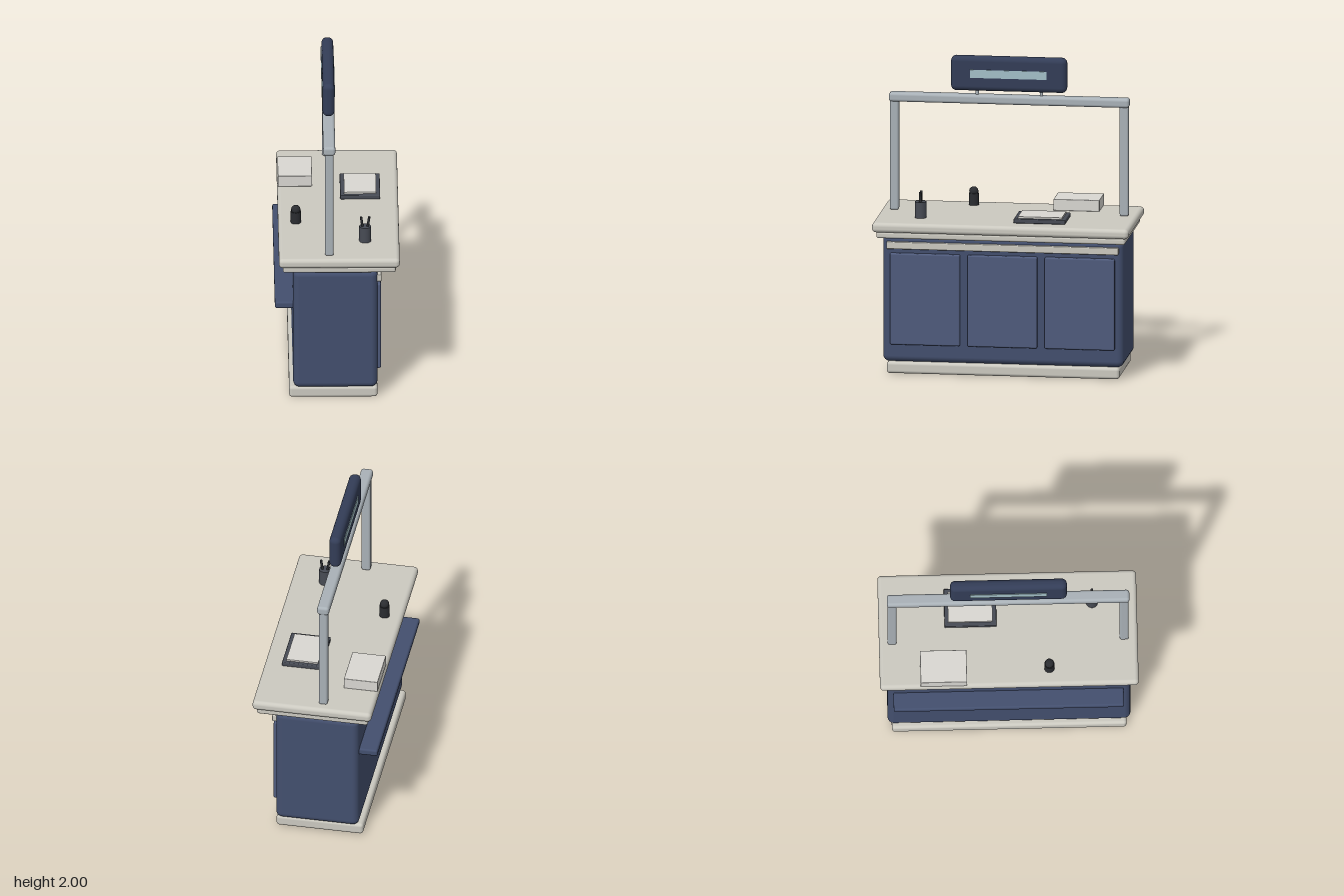
import * as THREE from 'three';
import { RoundedBoxGeometry } from 'three/addons/geometries/RoundedBoxGeometry.js';

const material = (color) => new THREE.MeshStandardMaterial({ color });

export function createModel() {
  const model = new THREE.Group();
  model.name = 'serviceCounter';

  const stone = material(0xcbc9c0);
  const navy = material(0x434f6e);
  const panelBlue = material(0x4f5b7c);
  const signNavy = material(0x333d57);
  const metal = material(0xa9b1b7);
  const screenBlue = material(0xa3c0c8);
  const paper = material(0xd9d7d2);
  const slate = material(0x474b54);
  const black = material(0x2b2d31);

  const add = (name, geometry, mat, x, y, z, parent = model) => {
    const mesh = new THREE.Mesh(geometry, mat);
    mesh.name = name;
    mesh.position.set(x, y, z);
    parent.add(mesh);
    return mesh;
  };

  // Box given by its extents; a radius rounds its edges
  const box = (name, mat, [x0, x1], [y0, y1], [z0, z1], radius = 0) => {
    const size = [x1 - x0, y1 - y0, z1 - z0];
    const geometry = radius > 0
      ? new RoundedBoxGeometry(...size, 4, radius)
      : new THREE.BoxGeometry(...size);
    return add(name, geometry, mat, (x0 + x1) / 2, (y0 + y1) / 2, (z0 + z1) / 2);
  };

  // Counter body
  box('plinth', stone, [-0.305, 0.25], [0.005, 0.08], [-0.737, 0.74], 0.02);
  box('cabinet', navy, [-0.28, 0.25], [0.08, 0.895], [-0.763, 0.765], 0.04);
  box('underTop', stone, [-0.345, 0.365], [0.895, 0.937], [-0.79, 0.79], 0.014);
  box('counterTop', stone, [-0.37, 0.39], [0.935, 0.998], [-0.813, 0.815], 0.025);
  box('trimStrip', stone, [0.24, 0.276], [0.81, 0.855], [-0.735, 0.738], 0.006);
  box('sideShelf', navy, [-0.395, -0.27], [0.618, 0.662], [-0.727, 0.722], 0.012);
  for (const z of [-0.488, 0.003, 0.494]) {
    box('doorPanel', panelBlue, [0.235, 0.272], [0.195, 0.782], [z - 0.222, z + 0.222], 0.01);
  }

  // Overhead frame
  const frameX = -0.053;
  for (const z of [-0.73, 0.73]) {
    box('framePost', metal, [frameX - 0.028, frameX + 0.028], [0.998, 1.72], [z - 0.028, z + 0.028], 0.013);
  }
  box('frameBeam', metal, [frameX - 0.038, frameX + 0.038], [1.695, 1.753], [-0.763, 0.763], 0.018);

  // Sign with a screen on each face
  for (const z of [-0.203, 0.205]) {
    add('signStem', new THREE.CylinderGeometry(0.011, 0.011, 0.06, 16), metal, frameX, 1.77, z);
  }
  box('signBody', signNavy, [frameX - 0.037, frameX + 0.037], [1.777, 2], [-0.366, 0.37], 0.033);
  for (const side of [-1, 1]) {
    add('signScreen', new THREE.BoxGeometry(0.008, 0.052, 0.485), screenBlue, frameX + side * 0.037, 1.89, 0.002);
  }

  // Items on the top
  box('paperBox', paper, [-0.365, -0.15], [0.998, 1.07], [-0.557, -0.265], 0.003);
  box('trayFrame', slate, [0.025, 0.277], [0.998, 1.026], [-0.398, -0.07], 0.006);
  box('traySheet', paper, [0.05, 0.252], [1.02, 1.037], [-0.375, -0.095]);

  // Dispenser with a domed cap
  add('dispenserBody', new THREE.CylinderGeometry(0.032, 0.032, 0.076, 24), black, -0.258, 1.036, 0.255);
  add('dispenserCap', new THREE.SphereGeometry(0.029, 24, 16), black, -0.258, 1.086, 0.255);

  // Pen cup with two leaning pens
  add('penCup', new THREE.CylinderGeometry(0.037, 0.037, 0.102, 24), slate, 0.175, 1.049, 0.533);
  for (const side of [-1, 1]) {
    const pen = add('pen', new THREE.CylinderGeometry(0.008, 0.008, 0.13, 10), black, 0.175 + side * 0.017, 1.1, 0.533);
    pen.rotation.z = -side * 0.14;
  }

  return model;
}
